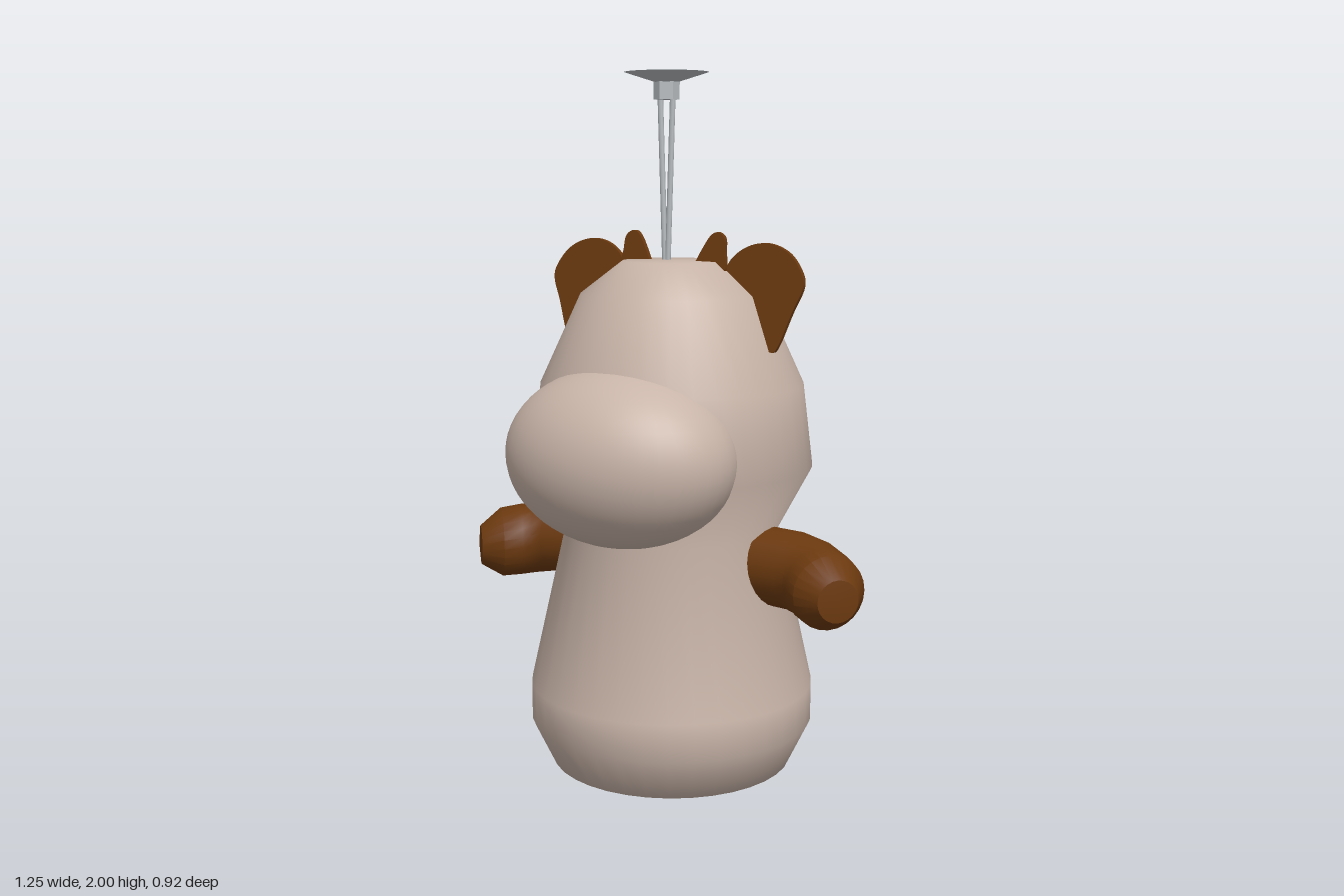
import * as THREE from 'three';
import { toCreasedNormals } from 'three/addons/utils/BufferGeometryUtils.js';

const V = (x, y, z) => new THREE.Vector3(x, y, z);

// Closed limb through rings given as [x, y, z, radius, dirX, dirZ]
function limb(rings, sides) {
  const pos = [], index = [], up = V(0, 1, 0);
  rings.forEach(([x, y, z, r, dx, dz], i) => {
    const d = V(dx, 0, dz).normalize();
    const u = up.clone().cross(d).normalize(), v = d.clone().cross(u);
    for (let j = 0; j < sides; j++) {
      const t = (j / sides) * Math.PI * 2;
      const p = V(x, y, z).addScaledVector(u, r * Math.cos(t)).addScaledVector(v, r * Math.sin(t));
      pos.push(p.x, p.y, p.z);
      if (i === 0) continue;
      const k = (j + 1) % sides, a = (i - 1) * sides, b = i * sides;
      index.push(a + j, a + k, b + j, a + k, b + k, b + j);
    }
  });
  const g = new THREE.BufferGeometry();
  g.setAttribute('position', new THREE.Float32BufferAttribute(pos, 3));
  g.setIndex(index);
  return toCreasedNormals(g, 0.6);
}

// Thin upright plate, leaning back as it rises
function plate(outline, side, zBase) {
  const pts = outline.map(([x, y]) => new THREE.Vector2(x * side, y));
  const shape = new THREE.Shape();
  shape.moveTo(pts[0].x, pts[0].y);
  shape.splineThru(pts.slice(1));
  const g = new THREE.ExtrudeGeometry(shape, { depth: 0.014, bevelEnabled: false, curveSegments: 24 });
  const p = g.attributes.position;
  for (let i = 0; i < p.count; i++) {
    p.setZ(i, p.getZ(i) + zBase - (p.getY(i) - 1.26) * 0.17);
  }
  g.computeVertexNormals();
  return g;
}

export function createModel() {
  const model = new THREE.Group();
  const mat = (name, color) => new THREE.MeshStandardMaterial({ name, color });
  const beige = mat('beige', 0xc8b4a8);
  const brown = mat('brown', 0x6b390f);
  const grey = mat('grey', 0xb8bdc0);
  const add = (name, geometry, material, x = 0, y = 0, z = 0) => {
    const m = new THREE.Mesh(geometry, material);
    m.name = name;
    m.position.set(x, y, z);
    model.add(m);
    return m;
  };

  // Body and head in one turned piece
  const profile = [[0, 0], [0.18, 0.005], [0.345, 0.055], [0.405, 0.18], [0.405, 0.285],
    [0.303, 0.74], [0.398, 0.92], [0.37, 1.15], [0.255, 1.4], [0.138, 1.49], [0, 1.492]];
  add('body', new THREE.LatheGeometry(profile.map(([r, y]) => new THREE.Vector2(r, y)), 36),
    beige, 0, 0, -0.057);

  // Snout
  const snout = new THREE.SphereGeometry(1, 40, 28).scale(0.336, 0.245, 0.25);
  add('snout', snout, beige, 0, 0.978, 0.212);

  // Arms, ears and horns
  const ear = [[0.15, 1.44], [0.18, 1.5], [0.23, 1.535], [0.29, 1.543], [0.35, 1.52], [0.39, 1.475],
    [0.402, 1.43], [0.375, 1.36], [0.342, 1.27], [0.32, 1.256], [0.26, 1.28], [0.18, 1.35], [0.15, 1.44]];
  const horn = [[0.06, 1.46], [0.09, 1.52], [0.115, 1.56], [0.137, 1.57], [0.158, 1.555],
    [0.163, 1.52], [0.165, 1.46], [0.11, 1.43], [0.06, 1.46]];
  const arm = [[0.2, 0.662, -0.07, 0, 1, 0.1], [0.2, 0.662, -0.07, 0.108, 1, 0.1],
    [0.4, 0.657, -0.055, 0.108, 1, 0.15], [0.46, 0.648, -0.036, 0.107, 0.9, 0.42],
    [0.5, 0.642, -0.002, 0.105, 0.74, 0.67], [0.54, 0.637, 0.035, 0.102, 0.74, 0.67],
    [0.586, 0.63, 0.076, 0.058, 0.74, 0.67], [0.59, 0.63, 0.079, 0, 0.74, 0.67]];
  for (const [side, label] of [[1, 'left'], [-1, 'right']]) {
    const rings = arm.map(([x, y, z, r, dx, dz]) => [x * side, y, z, r, dx * side, dz]);
    add(label + 'Arm', limb(rings, 24), brown);
    add(label + 'Ear', plate(ear, side, -0.046), brown);
    add(label + 'Horn', plate(horn, side, -0.033), brown);
  }

  // Hanger: two cords, a hex nut and a flared disc
  const cx = -0.018, cz = -0.057;
  for (const s of [-1, 1]) {
    const path = new THREE.LineCurve3(V(cx + s * 0.004, 1.46, cz), V(cx + s * 0.02, 1.94, cz));
    add('cord', new THREE.TubeGeometry(path, 1, 0.008, 8), grey);
  }
  const nut = new THREE.CylinderGeometry(0.036, 0.036, 0.05, 6).toNonIndexed();
  nut.computeVertexNormals();
  add('nut', nut, grey, cx, 1.952, cz);
  add('disc', new THREE.CylinderGeometry(0.116, 0.03, 0.027, 32), grey, cx, 1.9865, cz);

  return model;
}
